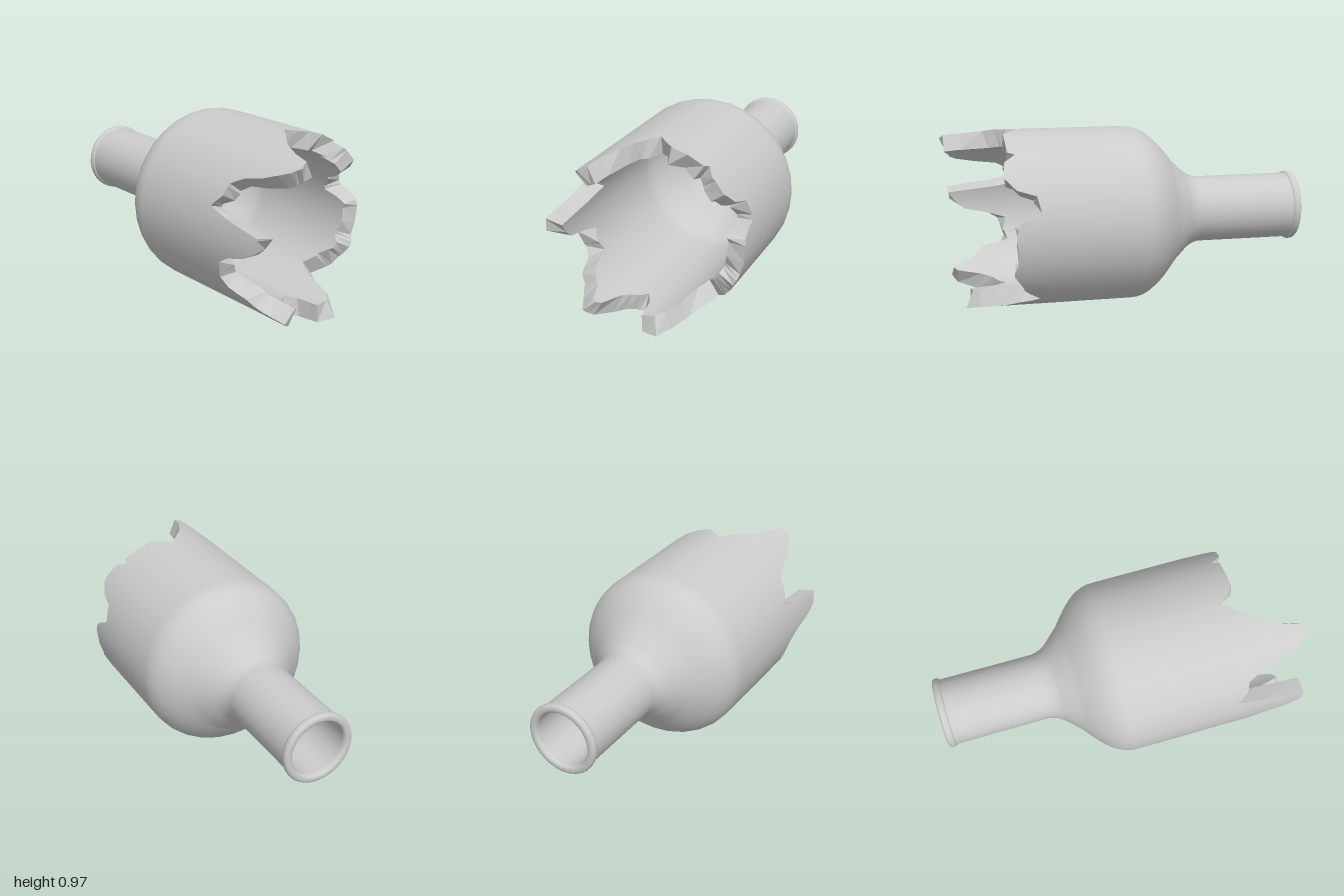
import * as THREE from 'three';

const SIDES = 32, STEP = 360 / SIDES;
const OUTER = 0.4855, INNER = 0.39, SEAM = 0.5;

// Break line: angle in degrees (counter-clockwise from +x, seen from the front), z of the edge
const BREAK = [
  [0, 0.66], [4, 0.65], [8, 0.61], [11, 0.54], [14, 0.53], [24, 0.55], [28, 0.65], [36, 0.71], [48, 0.7],
  [54, 0.64], [56, 0.68], [78, 0.68], [84, 0.64], [90, 0.59], [95, 0.65], [100, 0.7], [106, 0.77],
  [112, 0.88], [115, 0.98], [121, 1], [126, 0.96], [130, 0.9], [135, 0.82], [138, 0.72], [144, 0.64],
  [152, 0.63], [160, 0.57], [164, 0.7], [168, 0.95], [177, 0.94], [183, 0.85], [187, 0.73], [192, 0.66],
  [204, 0.63], [211, 0.66], [216, 0.77], [222, 0.8], [228, 0.88], [233, 0.95], [240, 0.92], [246, 0.83],
  [252, 0.74], [257, 0.7], [262, 0.69], [268, 0.76], [271, 0.87], [282, 0.9], [288, 0.83], [294, 0.69],
  [300, 0.62], [306, 0.52], [318, 0.61], [324, 0.63], [332, 0.67], [336, 0.67], [340, 0.65], [360, 0.66],
];

function edgeZ(a) {
  let i = 1;
  while (BREAK[i][0] < a) i++;
  const [a0, z0] = BREAK[i - 1], [a1, z1] = BREAK[i];
  return z0 + (z1 - z0) * (a - a0) / (a1 - a0);
}

// Point on the many-sided wall, so that the band meets the bottle's flat facets
function wallPoint(radius, deg, z) {
  const rad = THREE.MathUtils.degToRad;
  const r = radius * Math.cos(rad(STEP / 2)) / Math.cos(rad((deg % STEP) - STEP / 2));
  return [r * Math.cos(rad(deg)), r * Math.sin(rad(deg)), z];
}

function buildGeometry(quads) {
  const pos = [];
  for (const [a, b, c, d] of quads) pos.push(...a, ...b, ...c, ...a, ...c, ...d);
  const g = new THREE.BufferGeometry();
  g.setAttribute('position', new THREE.Float32BufferAttribute(pos, 3));
  g.computeVertexNormals();
  return g;
}

// Smooth normals pointing straight out of (or into) the cylinder
function radialNormals(g, sign) {
  const p = g.attributes.position, n = g.attributes.normal;
  for (let i = 0; i < p.count; i++) {
    const r = Math.hypot(p.getX(i), p.getY(i));
    n.setXYZ(i, sign * p.getX(i) / r, sign * p.getY(i) / r, 0);
  }
  return g;
}

// Closed wall section: inside from body to neck, round the lip, back along the outside
function bottleProfile() {
  const p = new THREE.Path();
  p.moveTo(INNER, SEAM);
  p.lineTo(INNER, 0);
  p.bezierCurveTo(INNER, -0.09, 0.32, -0.17, 0.25, -0.24);
  p.lineTo(0.19, -0.31);
  p.quadraticCurveTo(0.152, -0.36, 0.152, -0.43);
  p.lineTo(0.152, -0.975);
  p.quadraticCurveTo(0.153, -1, 0.175, -1);
  p.quadraticCurveTo(0.198, -1, 0.198, -0.98);
  p.quadraticCurveTo(0.198, -0.96, 0.186, -0.955);
  p.lineTo(0.185, -0.44);
  p.quadraticCurveTo(0.185, -0.39, 0.225, -0.34);
  p.lineTo(0.3, -0.26);
  p.bezierCurveTo(0.4, -0.18, OUTER, -0.11, OUTER, 0);
  p.lineTo(OUTER, SEAM);
  return p.getPoints(10);
}

export function createModel() {
  const group = new THREE.Group();
  const material = new THREE.MeshStandardMaterial({ color: 0xcccccc });
  const flat = new THREE.MeshStandardMaterial({ color: 0xcccccc, flatShading: true });
  const add = (name, geometry, mat) => {
    const m = new THREE.Mesh(geometry, mat);
    m.name = name;
    m.position.y = OUTER;
    group.add(m);
  };

  // Neck, shoulder and intact part of the body
  add('bottle', new THREE.LatheGeometry(bottleProfile(), SIDES).rotateX(Math.PI / 2), material);

  // Angles of the broken band: every facet corner plus every point of the break line
  const angles = new Set(BREAK.map((b) => b[0]));
  for (let i = 0; i < SIDES; i++) angles.add(i * STEP);
  const sorted = [...angles].sort((a, b) => a - b);

  const columns = sorted.map((a) => {
    const z = edgeZ(a);
    const chip = 0.025 * Math.sin(a * 0.35) - 0.015;
    return {
      outBase: wallPoint(OUTER, a, SEAM), outEdge: wallPoint(OUTER, a, z),
      inBase: wallPoint(INNER, a, SEAM), inEdge: wallPoint(INNER, a, Math.max(z + chip, SEAM + 0.01)),
    };
  });
  columns[columns.length - 1] = columns[0];

  const outside = [], inside = [], rim = [];
  for (let i = 0; i < columns.length - 1; i++) {
    const a = columns[i], b = columns[i + 1];
    outside.push([a.outBase, b.outBase, b.outEdge, a.outEdge]);
    inside.push([b.inBase, a.inBase, a.inEdge, b.inEdge]);
    rim.push([a.outEdge, b.outEdge, b.inEdge, a.inEdge]);
  }
  add('jaggedWallOutside', radialNormals(buildGeometry(outside), 1), material);
  add('jaggedWallInside', radialNormals(buildGeometry(inside), -1), material);
  add('brokenEdge', buildGeometry(rim), flat);
  return group;
}
